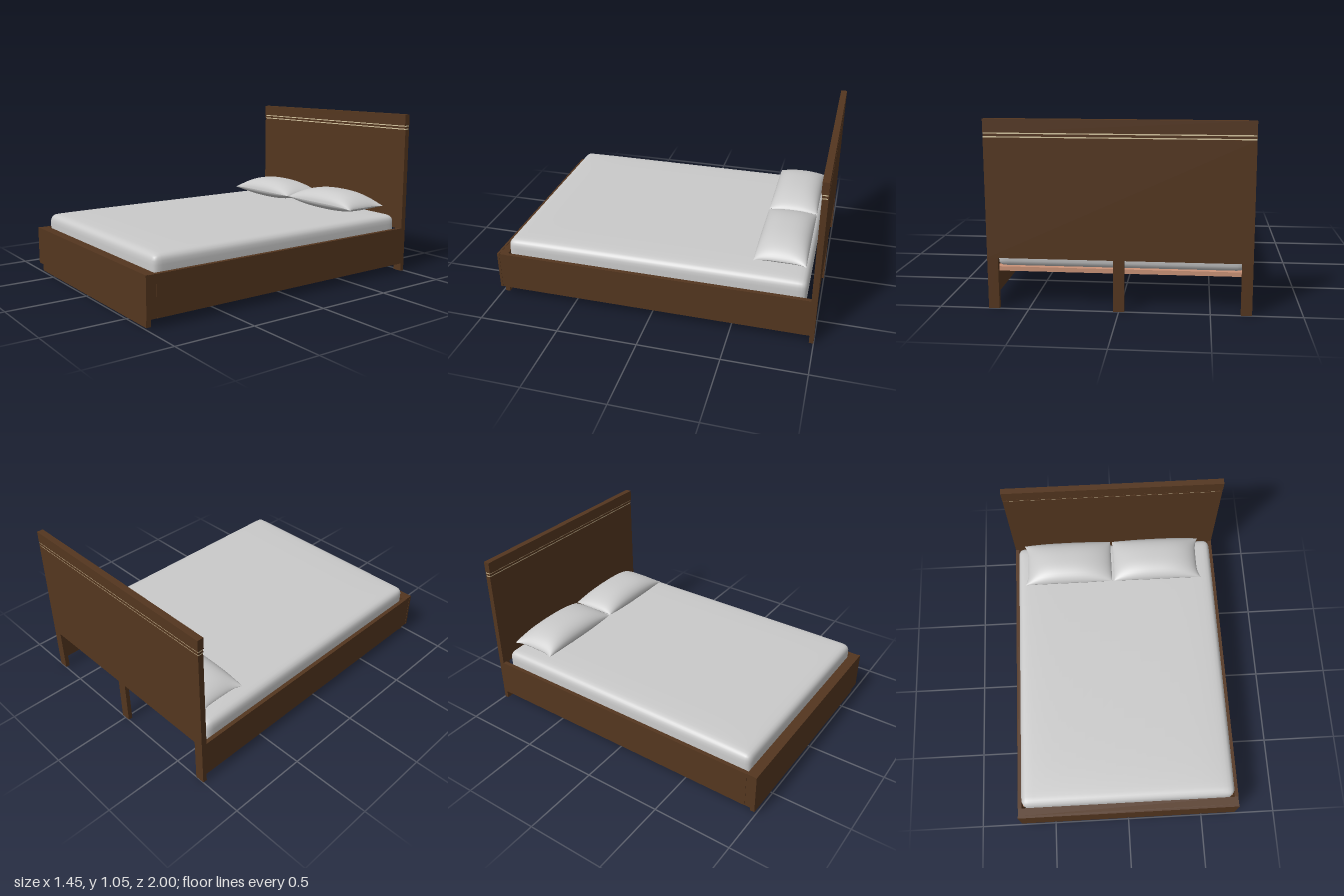
import * as THREE from 'three';
import { mergeGeometries, mergeVertices } from 'three/addons/utils/BufferGeometryUtils.js';

const wood = new THREE.MeshStandardMaterial({ color: 0x54361f, name: 'darkWood' });
const slatWood = new THREE.MeshStandardMaterial({ color: 0xcb9378, name: 'slatWood' });
const linen = new THREE.MeshStandardMaterial({ color: 0xcacaca, name: 'linen' });
const inlayMat = new THREE.MeshStandardMaterial({ color: 0xd8c8a2, name: 'paleInlay' });

// Box given by its extents along each axis
function box(parent, name, mat, [x0, x1], [y0, y1], [z0, z1]) {
  const mesh = new THREE.Mesh(new THREE.BoxGeometry(x1 - x0, y1 - y0, z1 - z0), mat);
  mesh.position.set((x0 + x1) / 2, (y0 + y1) / 2, (z0 + z1) / 2);
  mesh.name = name;
  parent.add(mesh);
  return mesh;
}

// Maps -1..1 to itself, crowding samples towards the ends
const crowd = (t) => Math.sin(t * Math.PI / 2);

// One puffed sheet of a pillow; its outer end (side = -1 or +1) is pinched between the corners
function pillowSheet(height, up, side) {
  const g = new THREE.PlaneGeometry(2, 2, 32, 20);
  g.rotateX(up ? -Math.PI / 2 : Math.PI / 2);
  const p = g.attributes.position;
  for (let i = 0; i < p.count; i++) {
    const u = crowd(p.getX(i));
    const v = crowd(p.getZ(i));
    const puff = Math.pow(Math.max(0, 1 - Math.abs(u) ** 2.4), 0.6) * Math.sqrt(Math.max(0, 1 - Math.abs(v) ** 2.6));
    const outer = Math.max(0, u * side);
    const pinch = 0.025 * (1 - v ** 4) * outer * outer;
    // the seam droops a little towards the outer end
    const y = (up ? 1 : -1) * height * puff - 0.01 * outer ** 4;
    p.setXYZ(i, u * 0.308 - side * pinch, y, v * 0.155);
  }
  g.computeVertexNormals();
  return g;
}

// Soft block with rounded edges and a slightly swollen top
function mattressGeometry(hx, hy, hz, r, swell) {
  let g = new THREE.BoxGeometry(2, 2, 2, 32, 10, 36);
  g.deleteAttribute('normal');
  g.deleteAttribute('uv');
  g = mergeVertices(g);
  const half = new THREE.Vector3(hx, hy, hz);
  const inner = half.clone().subScalar(r);
  const p = g.attributes.position;
  const v = new THREE.Vector3();
  const core = new THREE.Vector3();
  for (let i = 0; i < p.count; i++) {
    v.fromBufferAttribute(p, i);
    const u = crowd(v.x), t = crowd(v.y), w = crowd(v.z);
    v.set(u, t, w).multiply(half);
    core.copy(v).clamp(inner.clone().negate(), inner);
    v.sub(core).setLength(r).add(core);
    if (t > 0) v.y += swell * t * (1 - u ** 8) * (1 - w ** 8);
    p.setXYZ(i, v.x, v.y, v.z);
  }
  g.computeVertexNormals();
  return g;
}

export function createModel() {
  const bed = new THREE.Group();
  bed.name = 'bed';
  const W = 0.725;

  // Headboard: panel, two inlay lines, bead and cap, standing on three legs
  const head = new THREE.Group();
  head.name = 'headboard';
  bed.add(head);
  box(head, 'headboardPanel', wood, [-W, W], [0.29, 0.955], [-1, -0.965]);
  box(head, 'headboardBead', wood, [-W, W], [0.962, 0.975], [-1, -0.964]);
  box(head, 'headboardCap', wood, [-W, W], [0.982, 1.055], [-1, -0.96]);
  for (const y of [0.955, 0.975])
    box(head, 'headboardInlay', inlayMat, [-W + 0.001, W - 0.001], [y, y + 0.007], [-0.997, -0.967]);
  for (const x of [-W + 0.03, 0, W - 0.03])
    box(head, 'headboardLeg', wood, [x - 0.03, x + 0.03], [0, 0.29], [-1, -0.973]);

  // Side rails
  for (const s of [-1, 1]) {
    const rail = box(bed, 'sideRail', wood, [W - 0.025, W], [0.052, 0.295], [-0.973, 0.935]);
    rail.position.x *= s;
  }

  // Footboard: outer panel, inner backing and recessed plinth
  const foot = new THREE.Group();
  foot.name = 'footboard';
  bed.add(foot);
  box(foot, 'footboardPanel', wood, [-W, W], [0.052, 0.297], [0.985, 1]);
  box(foot, 'footboardBacking', wood, [-W + 0.002, W - 0.002], [0.052, 0.295], [0.935, 0.985]);
  box(foot, 'footPlinth', wood, [-0.695, 0.695], [0, 0.052], [0.957, 0.986]);

  // Slats
  const slats = new THREE.Group();
  slats.name = 'slats';
  bed.add(slats);
  const count = 19;
  for (let i = 0; i < count; i++) {
    const z = -0.9 + i * (1.78 / (count - 1));
    box(slats, 'slat', slatWood, [-0.7, 0.7], [0.195, 0.22], [z - 0.027, z + 0.027]);
  }

  // Mattress
  const mattress = new THREE.Mesh(mattressGeometry(0.695, 0.083, 0.935, 0.045, 0.012), linen);
  mattress.position.set(0, 0.303, 0);
  mattress.name = 'mattress';
  bed.add(mattress);

  // Pillows
  for (const [side, x] of [[-1, -0.335], [1, 0.295]]) {
    const geo = mergeGeometries([pillowSheet(0.083, true, side), pillowSheet(0.056, false, side)]);
    const pillow = new THREE.Mesh(geo, linen);
    pillow.position.set(x, 0.446, -0.757);
    pillow.name = side < 0 ? 'rightPillow' : 'leftPillow';
    bed.add(pillow);
  }
  return bed;
}
